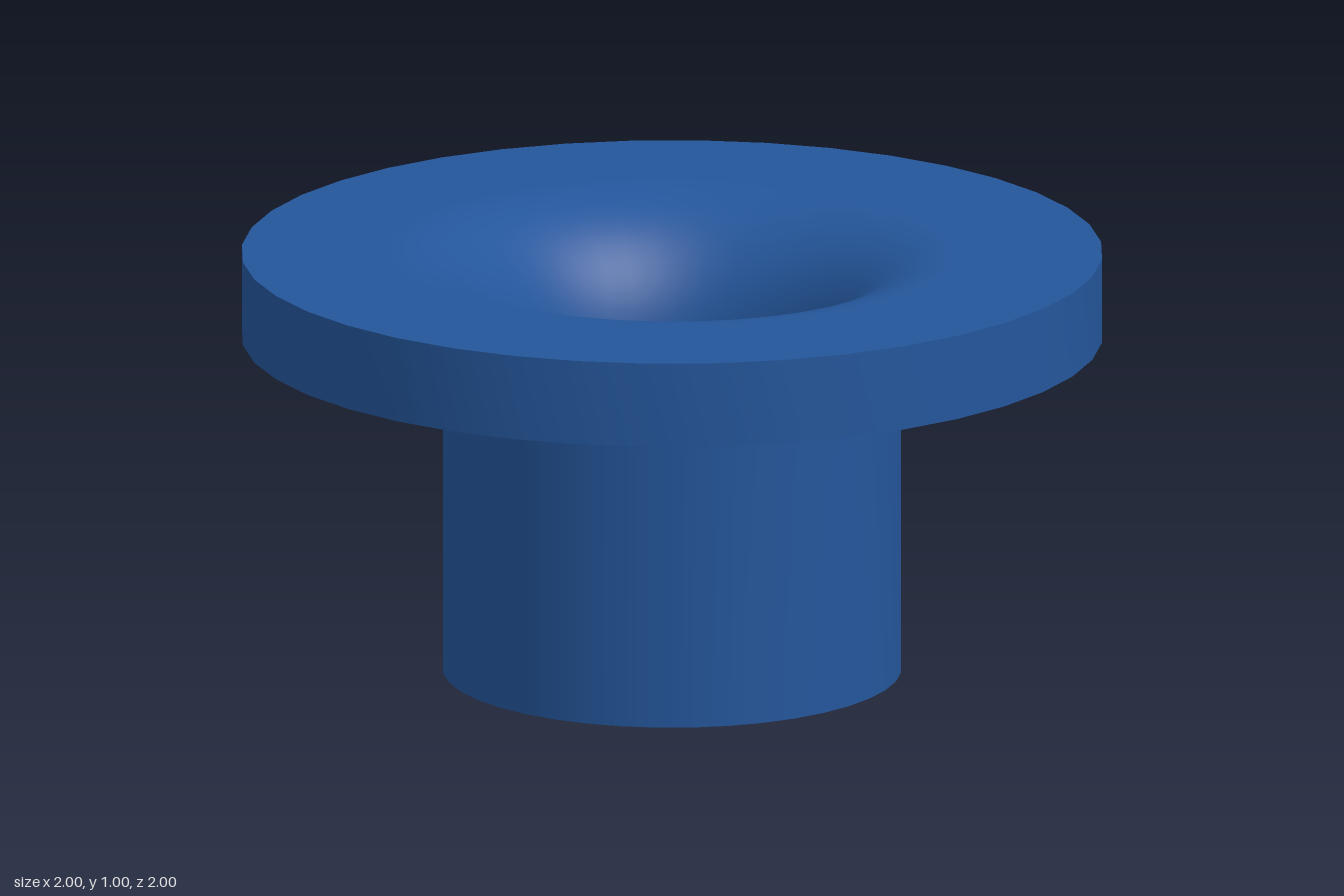
import * as THREE from 'three';
import { toCreasedNormals } from 'three/addons/utils/BufferGeometryUtils.js';

const BORE = 1 / 3, SLEEVE = 0.533, FLANGE = 1;
const TOP = 1, UNDERSIDE = 0.8;
const ARC = 2 / 3; // both fillets share the centre (ARC, ARC)

export function createModel() {
  const group = new THREE.Group();
  group.name = 'flangedBushing';

  // Closed section: foot, sleeve, outer fillet, flange, flared mouth, bore
  const section = new THREE.Path();
  section.moveTo(BORE, 0);
  section.lineTo(SLEEVE, 0);
  section.absarc(ARC, ARC, ARC - SLEEVE, Math.PI, Math.PI / 2, true);
  section.lineTo(FLANGE, UNDERSIDE);
  section.lineTo(FLANGE, TOP);
  section.absarc(ARC, ARC, ARC - BORE, Math.PI / 2, Math.PI, false);
  section.lineTo(BORE, 0);

  const geometry = toCreasedNormals(new THREE.LatheGeometry(section.getPoints(12), 40), 0.6);
  const bushing = new THREE.Mesh(geometry, new THREE.MeshStandardMaterial({ color: 0x24569b }));
  bushing.name = 'bushing';
  group.add(bushing);
  return group;
}
